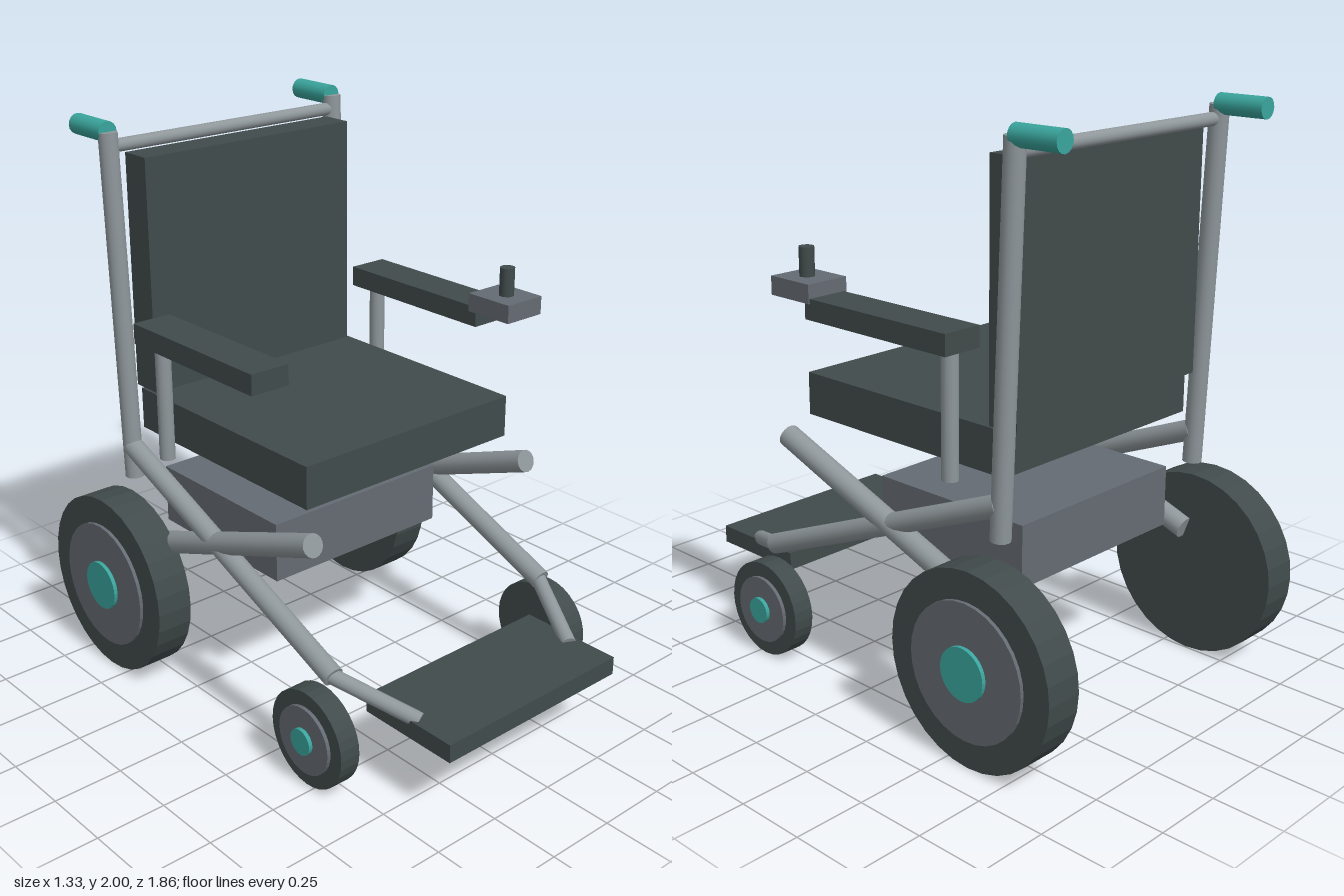
import * as THREE from 'three';

const mat = (name, color) => {
  const m = new THREE.MeshStandardMaterial({ color });
  m.name = name;
  return m;
};

export function createModel() {
  const model = new THREE.Group();
  model.name = 'poweredWheelchair';
  const dark = mat('dark upholstery and rubber', 0x414b4b);
  const slate = mat('slate casing', 0x656b73);
  const steel = mat('steel tube', 0x8f979b);
  const teal = mat('teal accent', 0x3aa59d);

  const add = (name, geometry, material, parent = model) => {
    const mesh = new THREE.Mesh(geometry, material);
    mesh.name = name;
    parent.add(mesh);
    return mesh;
  };

  // Box given by its min and max on each axis
  const box = (name, [x0, x1], [y0, y1], [z0, z1], material) => {
    const mesh = add(name, new THREE.BoxGeometry(x1 - x0, y1 - y0, z1 - z0), material);
    mesh.position.set((x0 + x1) / 2, (y0 + y1) / 2, (z0 + z1) / 2);
  };

  // Straight capped tube between two points
  const tube = (name, from, to, radius, material) => {
    const a = new THREE.Vector3(...from);
    const b = new THREE.Vector3(...to);
    const dir = b.clone().sub(a);
    const mesh = add(name, new THREE.CylinderGeometry(radius, radius, dir.length(), 16), material);
    mesh.position.copy(a).add(b).multiplyScalar(0.5);
    mesh.quaternion.setFromUnitVectors(new THREE.Vector3(0, 1, 0), dir.normalize());
  };

  // Tyre with a stepped rim and hub on its outer face only
  const wheel = (name, side, radius, inner, outer, y, z) => {
    const group = new THREE.Group();
    group.name = name;
    group.position.set(0, y, z);
    model.add(group);
    const disc = (part, r, x0, x1, material) => {
      const g = new THREE.CylinderGeometry(r, r, x1 - x0, 32).toNonIndexed();
      g.computeVertexNormals();
      g.rotateZ(Math.PI / 2);
      add(part, g, material, group).position.x = side * (x0 + x1) / 2;
    };
    disc('tyre', radius, inner, outer, dark);
    disc('rim', radius * 0.7, outer - 0.02, outer + 0.013, slate);
    disc('hub', radius * 0.27, outer - 0.02, outer + 0.027, teal);
  };

  // Seat, backrest, battery case and footplate
  box('seat', [-0.455, 0.455], [0.91, 1.06], [-0.575, 0.33], dark);
  box('backrest', [-0.445, 0.445], [1.06, 1.895], [-0.615, -0.5], dark);
  box('batteryCase', [-0.37, 0.37], [0.515, 0.73], [-0.575, 0.065], slate);
  box('footplate', [-0.39, 0.39], [0.24, 0.305], [0.545, 0.93], dark);
  tube('backCrossbar', [-0.47, 1.917, -0.637], [0.47, 1.917, -0.637], 0.023, steel);

  // Mirrored frame, armrests, grips and wheels
  for (const [label, s] of [['left', 1], ['right', -1]]) {
    const x = s * 0.492;
    tube(label + 'BackPost', [x, 0.725, -0.595], [x, 1.965, -0.642], 0.034, steel);
    tube(label + 'PushGrip', [x, 1.965, -0.642], [x, 1.965, -0.825], 0.036, teal);
    tube(label + 'LegTube', [x, 0.84, -0.595], [x, 0.39, 0.5], 0.037, steel);
    tube(label + 'CrossTube', [x, 0.825, 0.403], [x, 0.465, -0.575], 0.04, steel);
    tube(label + 'FootrestTube', [x, 0.39, 0.49], [s * 0.355, 0.295, 0.76], 0.027, steel);
    tube(label + 'ArmrestPost', [x, 0.865, -0.38], [x, 1.3, -0.38], 0.028, steel);
    const arm = [s * 0.419, s * 0.567].sort((a, b) => a - b);
    box(label + 'Armrest', arm, [1.29, 1.362], [-0.435, 0.205], dark);
    wheel(label + 'RearWheel', s, 0.333, 0.505, 0.64, 0.335, -0.595);
    wheel(label + 'FrontWheel', s, 0.173, 0.505, 0.582, 0.177, 0.467);
  }

  // Joystick control on the left armrest
  box('controlBox', [0.408, 0.572], [1.345, 1.41], [0.18, 0.367], slate);
  tube('joystick', [0.49, 1.4, 0.28], [0.49, 1.51, 0.28], 0.026, dark);

  return model;
}
